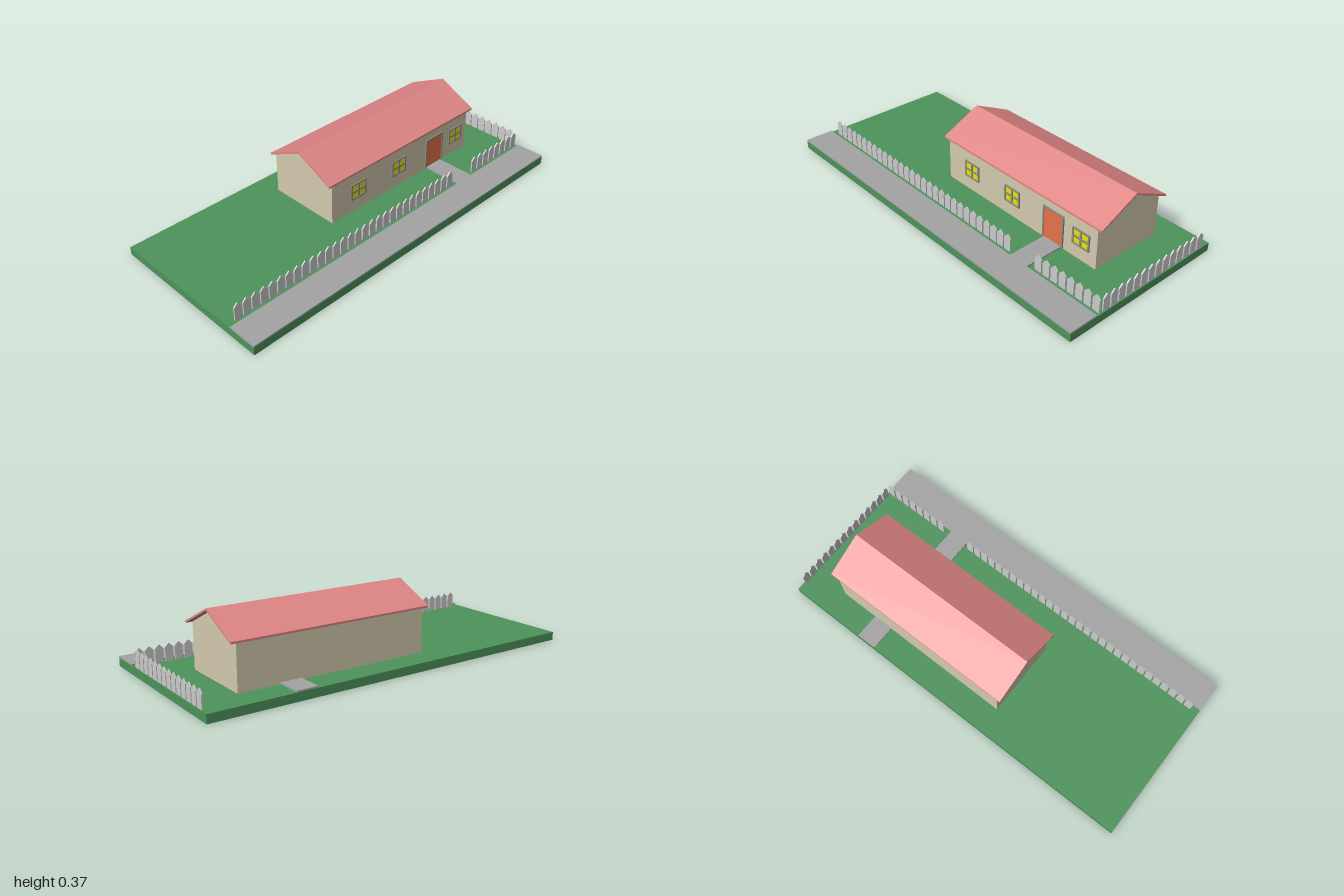
import * as THREE from 'three';

const mat = (color) => new THREE.MeshStandardMaterial({ color, flatShading: true });

export function createModel() {
  const model = new THREE.Group();
  const green = mat(0x4d935b), paving = mat(0xa4a4a4), wall = mat(0xd3caae), roofRed = mat(0xe08686);
  const picketGrey = mat(0xcccccc), frameGrey = mat(0x8c8c84), yellow = mat(0xe6e600), orange = mat(0xe6734a);

  const add = (name, geometry, material, parent = model) => {
    const mesh = new THREE.Mesh(geometry, material);
    mesh.name = name;
    parent.add(mesh);
    return mesh;
  };
  // Box given by its lower and upper limits on each axis
  const box = (name, x0, x1, y0, y1, z0, z1, material, parent) => {
    const mesh = add(name, new THREE.BoxGeometry(x1 - x0, y1 - y0, z1 - z0), material, parent);
    mesh.position.set((x0 + x1) / 2, (y0 + y1) / 2, (z0 + z1) / 2);
    return mesh;
  };
  const polygon = (points) => new THREE.Shape(points.map(([x, y]) => new THREE.Vector2(x, y)));
  const extrude = (shape, depth) => new THREE.ExtrudeGeometry(shape, { depth, bevelEnabled: false });
  const rectHole = (x0, x1, y0, y1) =>
    new THREE.Path([[x0, y0], [x0, y1], [x1, y1], [x1, y0]].map(([x, y]) => new THREE.Vector2(x, y)));

  // Ground and paths
  box('lawn', -0.45, 0.45, 0, 0.042, -1, 1, green);
  box('pavement', 0.295, 0.45, 0.042, 0.05, -1, 1, paving);
  box('gardenPath', -0.45, 0.295, 0.042, 0.05, -0.583, -0.475, paving);

  // House body with gabled ends
  const house = new THREE.Group();
  house.name = 'house';
  model.add(house);
  const cx = -0.119;
  const body = polygon([[-0.199, 0.042], [0.199, 0.042], [0.199, 0.266], [0, 0.361], [-0.199, 0.266]]);
  add('walls', extrude(body, 1), wall, house).position.set(cx, 0, -0.79);

  // Thin pitched roof overhanging on all sides
  const slab = polygon([[-0.21, 0.262], [0, 0.361], [0.21, 0.262], [0.21, 0.272], [0, 0.371], [-0.21, 0.272]]);
  add('roof', extrude(slab, 1.055), roofRed, house).position.set(cx, 0, -0.82);

  // Windows: frame with four openings over a yellow pane
  const w = 0.051, h = 0.044, bar = 0.005;
  const frameShape = polygon([[-w, -h], [w, -h], [w, h], [-w, h]]);
  for (const [x0, x1] of [[-w + 0.008, -bar], [bar, w - 0.008]])
    for (const [y0, y1] of [[-h + 0.008, -bar], [bar, h - 0.008]])
      frameShape.holes.push(rectHole(x0, x1, y0, y1));
  const frameGeometry = extrude(frameShape, 0.008);
  for (const z of [0.035, -0.255, -0.698]) {
    const group = new THREE.Group();
    group.name = 'window';
    group.position.set(0.079, 0.157, z);
    group.rotation.y = Math.PI / 2;
    house.add(group);
    add('windowFrame', frameGeometry, frameGrey, group);
    box('windowPane', -w + 0.004, w - 0.004, -h + 0.004, h - 0.004, 0, 0.004, yellow, group);
  }

  // Door in its frame
  const door = new THREE.Group();
  door.name = 'door';
  house.add(door);
  box('doorPanel', 0.079, 0.084, 0.045, 0.21, -0.585, -0.47, orange, door);
  box('doorFrameTop', 0.079, 0.087, 0.21, 0.218, -0.593, -0.463, frameGrey, door);
  box('doorFrameBack', 0.079, 0.087, 0.045, 0.21, -0.593, -0.585, frameGrey, door);
  box('doorFrameFront', 0.079, 0.087, 0.045, 0.21, -0.47, -0.463, frameGrey, door);

  // Fence: rows of pointed pickets
  const picket = extrude(polygon([[-0.0195, 0.042], [0.0195, 0.042], [0.0195, 0.11], [0, 0.129], [-0.0195, 0.11]]), 0.007);
  picket.translate(0, 0, -0.0035);
  const fenceRow = (name, count, from, to, place, turn) => {
    const row = new THREE.Group();
    row.name = name;
    model.add(row);
    for (let i = 0; i < count; i++) {
      const mesh = add('picket', picket, picketGrey, row);
      place(mesh, from + ((to - from) * i) / (count - 1));
      mesh.rotation.y = turn;
    }
  };
  const alongZ = (mesh, t) => mesh.position.set(0.2725, 0, t);
  fenceRow('sideFenceFront', 30, 0.937, -0.433, alongZ, Math.PI / 2);
  fenceRow('sideFenceBack', 8, -0.632, -0.972, alongZ, Math.PI / 2);
  fenceRow('backFence', 14, -0.382, 0.236, (mesh, t) => mesh.position.set(t, 0, -0.992), 0);

  return model;
}
